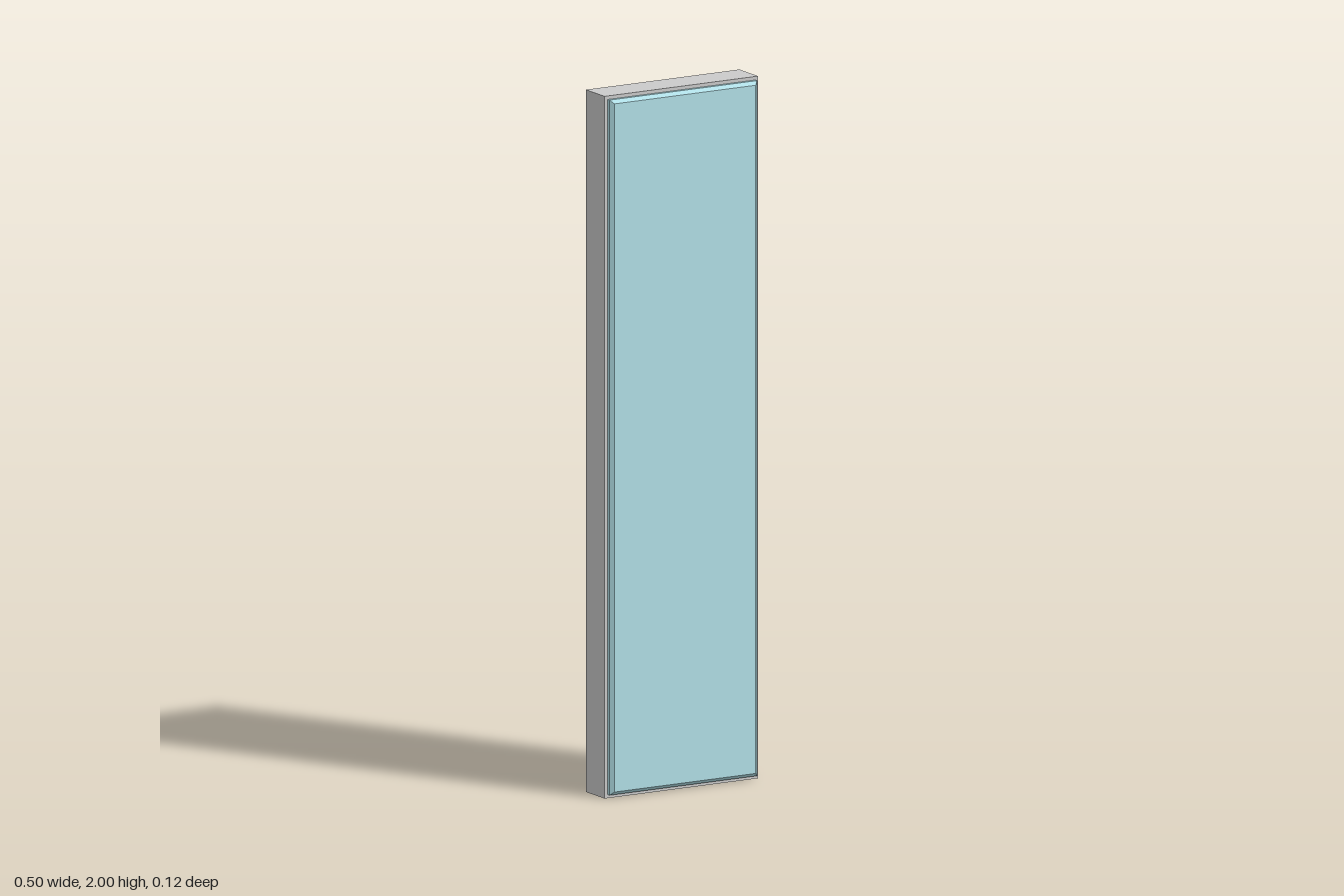
import * as THREE from 'three';

export function createModel() {
  const group = new THREE.Group();

  // Rectangular backing slab
  const slab = new THREE.Mesh(
    new THREE.BoxGeometry(0.5, 2, 0.1),
    new THREE.MeshStandardMaterial({ color: 0xcccccc, flatShading: true })
  );
  slab.name = 'backingSlab';
  slab.position.set(0, 1, -0.01);
  group.add(slab);

  // Tinted front panel with a chamfered rim; its rear chamfer is sunk in the slab
  const bevel = 0.01, halfW = 0.23, halfH = 0.98;
  const outline = new THREE.Shape([
    new THREE.Vector2(-halfW, -halfH),
    new THREE.Vector2(halfW, -halfH),
    new THREE.Vector2(halfW, halfH),
    new THREE.Vector2(-halfW, halfH),
  ]);
  const panel = new THREE.Mesh(
    new THREE.ExtrudeGeometry(outline, {
      depth: 0.01, bevelEnabled: true, bevelSize: bevel, bevelThickness: bevel, bevelSegments: 1,
    }),
    new THREE.MeshStandardMaterial({ color: 0xb2e0e8, flatShading: true })
  );
  panel.name = 'frontPanel';
  panel.position.set(0, 1, 0.04);
  group.add(panel);

  return group;
}
